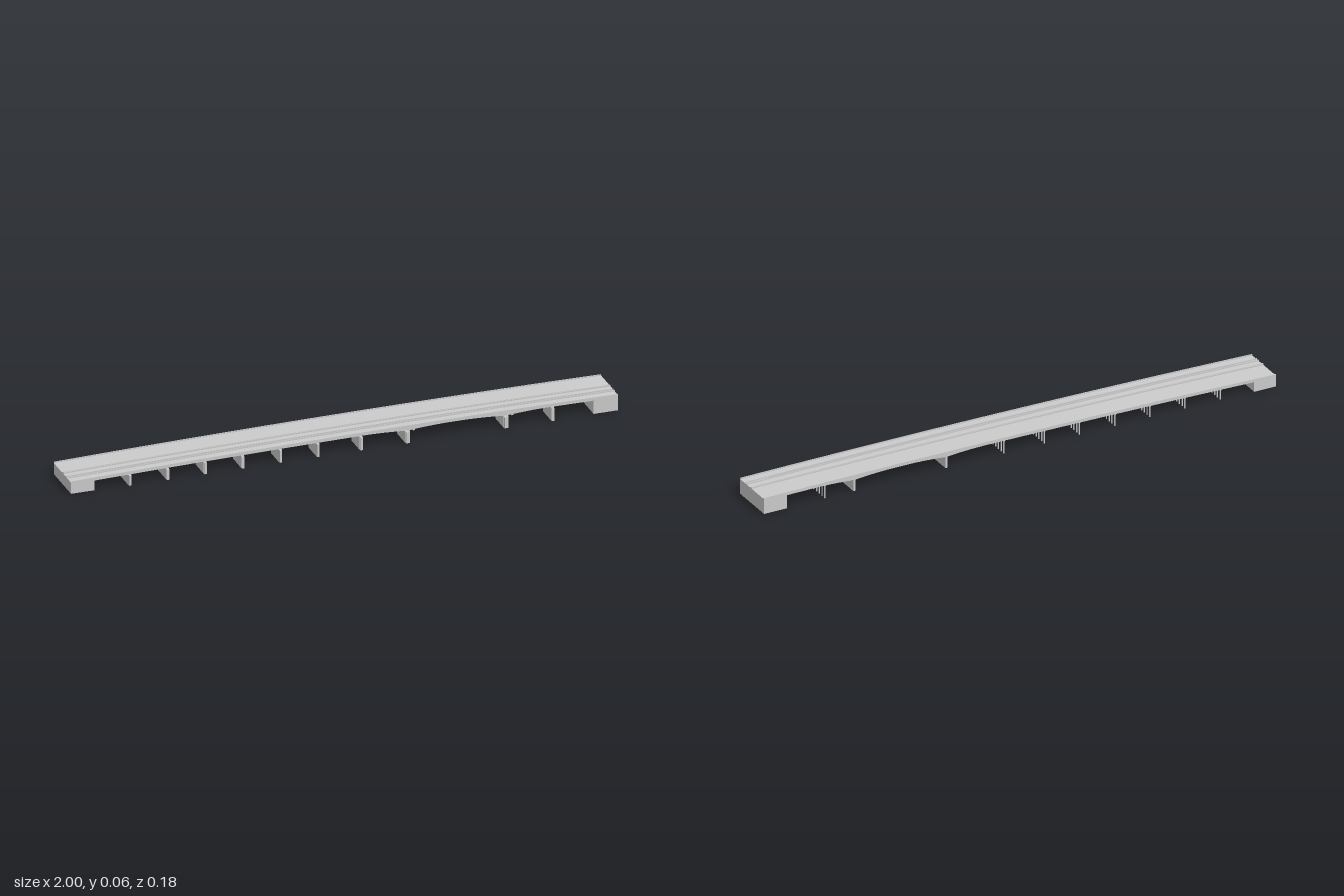
import * as THREE from 'three';

const material = new THREE.MeshStandardMaterial({ color: 0xcccccc, flatShading: true });

// Road level along the bridge, and girder depth with haunches over the main piers
const road = (x) => 0.06 - 0.0092 * (x - 0.4) ** 2;
const FRONT_MAIN = [0.23, 0.59];
const BACK_MAIN = [0.285, 0.645];
const soffit = (mains) => (x) => {
  let depth = 0.0095;
  for (const p of mains) depth += 0.008 * Math.max(0, 1 - Math.abs(x - p) / 0.16) ** 2;
  return road(x) - depth;
};
const frontSoffit = soffit(FRONT_MAIN);
const backSoffit = soffit(BACK_MAIN);

const X0 = -0.915, X1 = 0.91; // inner faces of the abutments

export function createModel() {
  const group = new THREE.Group();

  const add = (geometry, name) => {
    const mesh = new THREE.Mesh(geometry, material);
    mesh.name = name;
    group.add(mesh);
    return mesh;
  };

  // Solid between two height curves, running along x from x0 to x1 and from z0 to z1
  const strip = (name, low, high, x0, x1, z0, z1) => {
    const n = Math.max(2, Math.ceil((x1 - x0) / 0.025));
    const points = [];
    for (let i = 0; i <= n; i++) {
      const x = x0 + ((x1 - x0) * i) / n;
      points.push(new THREE.Vector2(x, low(x)));
    }
    for (let i = n; i >= 0; i--) {
      const x = x0 + ((x1 - x0) * i) / n;
      points.push(new THREE.Vector2(x, high(x)));
    }
    const geometry = new THREE.ExtrudeGeometry(new THREE.Shape(points), { depth: z1 - z0, bevelEnabled: false });
    geometry.translate(0, 0, z0);
    return add(geometry, name);
  };

  const block = (name, x, width, top, z0, z1) => {
    const geometry = new THREE.BoxGeometry(width, top, z1 - z0);
    geometry.translate(x, top / 2, (z0 + z1) / 2);
    return add(geometry, name);
  };

  // Abutments at both ends
  strip('rightAbutment', () => 0, road, -1, X0, -0.09, 0.083);
  strip('leftAbutment', () => 0, road, X1, 1, -0.09, 0.083);

  // Three parallel decks: slab, girders beneath and a parapet on each edge
  const decks = [
    { name: 'front', z0: 0.046, z1: 0.083, girders: 3, under: frontSoffit },
    { name: 'middle', z0: 0.004, z1: 0.036, girders: 3, under: frontSoffit },
    { name: 'back', z0: -0.09, z1: 0.001, girders: 5, under: backSoffit },
  ];
  for (const { name, z0, z1, girders, under } of decks) {
    strip(name + 'DeckSlab', (x) => road(x) - 0.004, road, X0, X1, z0, z1);
    for (let i = 0; i < girders; i++) {
      const z = z0 + 0.006 + ((z1 - z0 - 0.012) * i) / (girders - 1);
      strip(name + 'Girder', under, (x) => road(x) - 0.004, X0, X1, z - 0.002, z + 0.002);
    }
    for (const z of [z0, z1 - 0.0025]) {
      strip(name + 'Parapet', road, (x) => road(x) + 0.0045, -1, 1, z, z + 0.0025);
    }
  }

  // Wall piers carrying the front and middle decks
  const pierX = [-0.785, -0.647, -0.51, -0.373, -0.235, -0.098, 0.06, 0.23, 0.59, 0.76];
  for (const x of pierX) {
    const width = FRONT_MAIN.includes(x) ? 0.018 : 0.011;
    block('frontPier', x, width, frontSoffit(x), 0.004, 0.083);
    block('pierNose', x, width * 0.8, frontSoffit(x) - 0.001, 0.083, 0.09);
  }

  // Rows of slim columns under the back deck, with a cross beam
  for (const x of pierX.filter((p) => !FRONT_MAIN.includes(p))) {
    const top = backSoffit(x);
    for (let i = 0; i < 5; i++) {
      const column = new THREE.CylinderGeometry(0.0025, 0.0025, top, 8);
      column.translate(x, top / 2, -0.084 + i * 0.0195);
      add(column, 'backColumn');
    }
    const beam = new THREE.BoxGeometry(0.006, 0.004, 0.085);
    beam.translate(x, top, -0.045);
    add(beam, 'backCrossBeam');
  }

  // Wall piers of the back deck's main span
  for (const x of BACK_MAIN) block('backPier', x, 0.008, backSoffit(x), -0.086, -0.003);

  return group;
}
